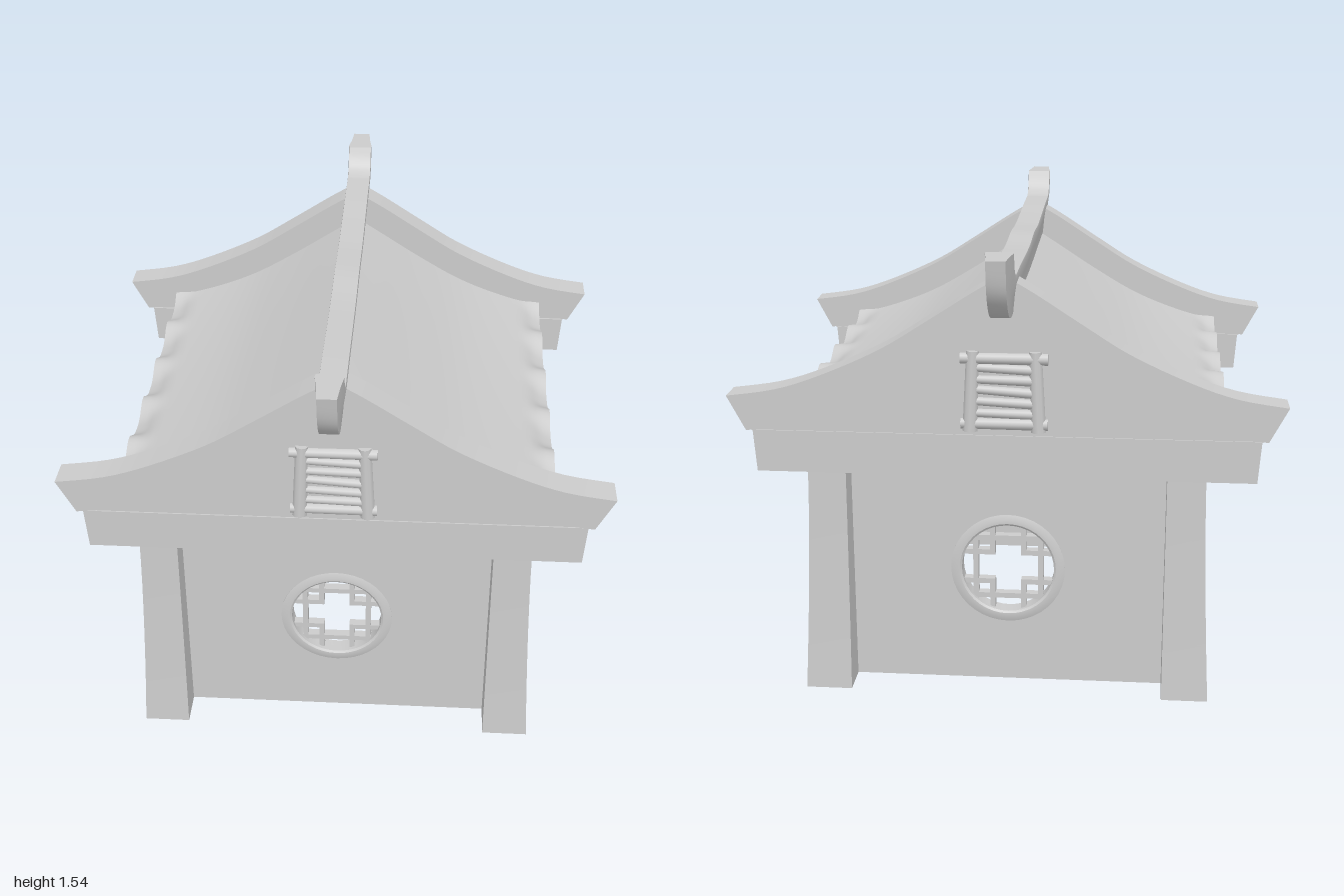
import * as THREE from 'three';
import { toCreasedNormals } from 'three/addons/utils/BufferGeometryUtils.js';

const V = (x, y, z) => new THREE.Vector3(x, y, z);
const material = new THREE.MeshStandardMaterial({ color: 0xcccccc });

function add(parent, name, geometry, x = 0, y = 0, z = 0) {
  const mesh = new THREE.Mesh(geometry, material);
  mesh.name = name;
  mesh.position.set(x, y, z);
  parent.add(mesh);
  return mesh;
}

const box = (w, h, d) => new THREE.BoxGeometry(w, h, d);

// Skin over a row of cross-sections; each section runs counter-clockwise about
// the path, and its corner k pairs with corner n-1-k so the ends can be capped.
function loft(rings) {
  const n = rings[0].length, last = rings.length - 1, index = [];
  for (let i = 0; i < last; i++) {
    for (let j = 0; j < n; j++) {
      const a = i * n + j, b = i * n + (j + 1) % n;
      index.push(a, b, a + n, b, b + n, a + n);
    }
  }
  const e = last * n;
  for (let k = 0; k < n / 2 - 1; k++) {
    const a = k, b = k + 1, c = n - 1 - k, d = n - 2 - k;
    index.push(e + a, e + b, e + d, e + a, e + d, e + c, a, d, b, a, c, d);
  }
  const g = new THREE.BufferGeometry().setFromPoints(rings.flat());
  g.setIndex(index);
  return toCreasedNormals(g, 0.6);
}

// Smooth curve through [x, y] pairs
const curve = (pts) => new THREE.SplineCurve(pts.map(([x, y]) => new THREE.Vector2(x, y)));

// Lower and upper edges of one roof verge, ridge to eave
const vergeLow = curve([[0, 1.33], [0.1, 1.26], [0.25, 1.155], [0.4, 1.06], [0.55, 0.99], [0.7, 0.94], [0.84, 0.92]]);
const vergeHigh = curve([[0, 1.445], [0.1, 1.387], [0.25, 1.29], [0.4, 1.197], [0.59, 1.11], [0.74, 1.06], [0.9, 1.035]]);

// Half-width and height fraction of the verge and ridge sections
const vergeSection = [[0.05, 0], [0.05, 1]];
const ridgeSection = [[0.03, 0], [0.036, 0.5], [0.044, 0.9], [0.042, 1]];
const mirrored = (s) => [...s, ...s.map(([w, h]) => [-w, h]).reverse()];

function vergeGeometry() {
  const rings = [];
  for (let i = 0; i <= 24; i++) {
    const lo = vergeLow.getPoint(i / 24), hi = vergeHigh.getPoint(i / 24);
    rings.push(mirrored(vergeSection).map(([w, h]) =>
      V(lo.x + (hi.x - lo.x) * h, lo.y + (hi.y - lo.y) * h, -w)));
  }
  return loft(rings);
}

// Ridge beam whose ends sweep up into horns
function ridgeGeometry() {
  const low = [[0, 1.32], [0.2, 1.322], [0.4, 1.325], [0.6, 1.327], [0.75, 1.325], [0.85, 1.335], [0.92, 1.37], [0.975, 1.44], [1, 1.54]];
  const high = [[0, 1.445], [0.2, 1.437], [0.4, 1.442], [0.6, 1.45], [0.74, 1.452], [0.78, 1.455], [0.815, 1.47], [0.84, 1.5], [0.86, 1.54]];
  const full = (s) => curve([...s.slice(1).reverse().map(([z, y]) => [-z, y]), ...s]);
  const lo = full(low), hi = full(high), rings = [];
  for (let i = 0; i <= 64; i++) {
    const a = lo.getPoint(i / 64), b = hi.getPoint(i / 64);
    rings.push(mirrored(ridgeSection).map(([w, h]) =>
      V(w, a.y + (b.y - a.y) * h, a.x + (b.x - a.x) * h)));
  }
  return loft(rings);
}

// Roof slope, sagging towards its middle, with a scalloped eave
function slopeGeometry() {
  const rings = [], steps = 30;
  for (let i = 0; i <= 80; i++) {
    const z = -0.66 + 1.32 * i / 80;
    const wave = Math.pow(0.5 + 0.5 * Math.cos((z - 0.135) / 0.27 * Math.PI * 2), 1.7);
    const sag = 0.025 * (1 - (z / 0.66) ** 2);
    const under = [], over = [];
    for (let j = 0; j <= steps; j++) {
      const p = vergeLow.getPoint(0.86 * j / steps);
      const ramp = THREE.MathUtils.smoothstep(p.x, 0.64, 0.715);
      const lift = ramp * (wave * 0.042 - 0.025);
      under.push(V(p.x, p.y - 0.01 - 0.036 * ramp + lift, z));
      over.push(V(p.x, p.y + 0.01 + (0.04 - sag) * p.x / 0.72 + lift, z));
    }
    rings.push([...under, ...over.reverse()]);
  }
  return loft(rings);
}

// Corner post whose outer sides flare towards the foot
function postGeometry(sx, sz) {
  const g = new THREE.BoxGeometry(0.125, 0.8, 0.105, 1, 8, 1);
  const p = g.attributes.position;
  for (let i = 0; i < p.count; i++) {
    const f = Math.pow(THREE.MathUtils.clamp(0.5 - p.getY(i) / 0.8, 0, 1), 1.5);
    if (p.getX(i) * sx > 0) p.setX(i, p.getX(i) + sx * 0.03 * f);
    p.setZ(i, p.getZ(i) + sz * (p.getZ(i) * sz > 0 ? 0.03 : -0.01) * f);
  }
  g.computeVertexNormals();
  return g;
}

// Wall panel with a round window and lattice; its outer face lies at z = 0
const windowY = 0.41, windowR = 0.165;
function wall(width) {
  const group = new THREE.Group();
  const shape = new THREE.Shape([[-1, 0], [1, 0], [1, 1], [-1, 1]].map(([x, y]) => new THREE.Vector2(x * width / 2, y * 0.8)));
  shape.holes.push(new THREE.Path().absarc(0, windowY, windowR, 0, Math.PI * 2, true));
  add(group, 'wallPanel', new THREE.ExtrudeGeometry(shape, { depth: 0.05, bevelEnabled: false, curveSegments: 40 }), 0, 0, -0.05);

  const profile = [[0.156, -0.052], [0.193, -0.052], [0.193, 0.002], [0.175, 0.008], [0.163, 0.008], [0.156, 0.003], [0.156, -0.052]];
  const ring = new THREE.LatheGeometry(profile.map(([r, y]) => new THREE.Vector2(r, y)), 40);
  add(group, 'windowFrame', toCreasedNormals(ring, 0.5), 0, windowY, 0).rotation.x = Math.PI / 2;

  // The bars outline an open cross and run out to the frame
  const lattice = new THREE.Group();
  lattice.name = 'windowLattice';
  lattice.position.set(0, windowY, -0.025);
  const chord = 2 * Math.sqrt(windowR ** 2 - 0.113 ** 2);
  for (const s of [-1, 1]) {
    add(lattice, 'outerUpright', box(0.018, chord, 0.03), s * 0.11, 0, 0);
    add(lattice, 'outerRail', box(chord, 0.018, 0.03), 0, s * 0.105, 0);
    for (const t of [-1, 1]) {
      add(lattice, 'innerUpright', box(0.018, 0.112, 0.03), s * 0.053, t * 0.1, 0);
      add(lattice, 'innerRail', box(0.112, 0.018, 0.03), s * 0.1, t * 0.053, 0);
    }
  }
  group.add(lattice);
  return group;
}

// Slatted vent in the gable
function vent() {
  const group = new THREE.Group();
  group.name = 'gableVent';
  const rod = (r1, r2, len) => new THREE.CylinderGeometry(r1, r2, len, 10);
  for (const s of [-1, 1]) {
    add(group, 'ventPost', rod(0.021, 0.025, 0.265), s * 0.105, 0, 0).rotation.z = s * 0.04;
    add(group, 'ventRail', rod(0.018, 0.02, 0.28), 0, s * 0.108, 0).rotation.z = Math.PI / 2;
  }
  for (let i = 0; i < 5; i++) {
    const slat = add(group, 'ventSlat', rod(0.014, 0.017, 0.2), 0, -0.074 + i * 0.037, 0);
    slat.rotation.z = Math.PI / 2 - 0.02 - 0.02 * (i % 3);
  }
  return group;
}

export function createModel() {
  const model = new THREE.Group();
  model.name = 'pavilion';

  // Walls on four sides, open underneath
  [['frontWall', 1.2, 0, 0.62], ['leftWall', 1.22, 1, 0.61], ['backWall', 1.2, 2, 0.62], ['rightWall', 1.22, 3, 0.61]]
    .forEach(([name, width, turn, out]) => {
      const w = wall(width), a = turn * Math.PI / 2;
      w.name = name;
      w.rotation.y = a;
      w.position.set(Math.sin(a) * out, 0, Math.cos(a) * out);
      model.add(w);
    });

  for (const sx of [-1, 1]) for (const sz of [-1, 1])
    add(model, 'cornerPost', postGeometry(sx, sz), sx * 0.5875, 0.4, sz * 0.6575);

  // Ceiling slab that also carries the eaves
  add(model, 'ceiling', box(1.3, 0.12, 1.3), 0, 0.855, 0);

  // Gable ends: beam, panel, vent and curved verges
  const edge = vergeLow.getPoints(20).map((p) => new THREE.Vector2(p.x, p.y + 0.01));
  const outline = [
    ...edge, new THREE.Vector2(0.8, 0.9), new THREE.Vector2(-0.8, 0.9),
    ...edge.slice(1).reverse().map((p) => new THREE.Vector2(-p.x, p.y)),
  ];
  const gable = new THREE.ExtrudeGeometry(new THREE.Shape(outline), { depth: 0.083, bevelEnabled: false });
  const beam = box(1.64, 0.14, 0.095);
  const bp = beam.attributes.position;
  for (let i = 0; i < bp.count; i++) if (bp.getY(i) < 0) bp.setX(i, bp.getX(i) * 0.988);
  beam.computeVertexNormals();
  const verge = vergeGeometry();
  for (const s of [1, -1]) {
    const end = new THREE.Group();
    end.name = s > 0 ? 'frontGable' : 'backGable';
    end.rotation.y = s > 0 ? 0 : Math.PI;
    add(end, 'gableBeam', beam, 0, 0.85, 0.692);
    add(end, 'gablePanel', gable, 0, 0, 0.652);
    add(end, 'leftVerge', verge, 0, 0, 0.695);
    add(end, 'rightVerge', verge, 0, 0, 0.695).rotation.y = Math.PI;
    const v = vent();
    v.position.set(0, 1.067, 0.733);
    end.add(v);
    model.add(end);
  }

  // Roof slopes and ridge
  const slope = slopeGeometry();
  add(model, 'leftRoofSlope', slope);
  add(model, 'rightRoofSlope', slope).rotation.y = Math.PI;
  add(model, 'ridge', ridgeGeometry());
  return model;
}
